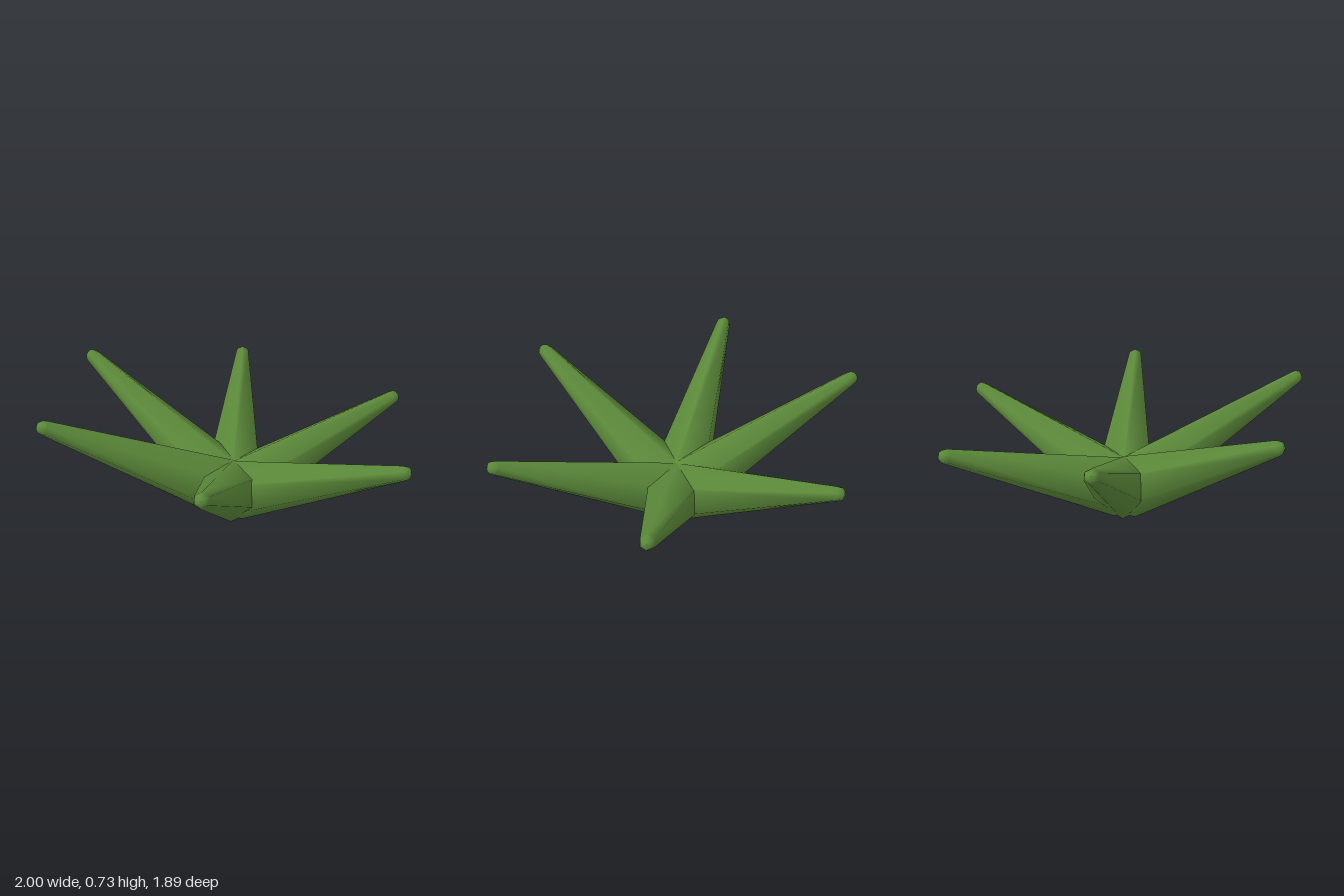
import * as THREE from 'three';

// Six tapering hexagonal spikes fanning up and out from one hub.
export function createModel() {
  const model = new THREE.Group();
  model.name = 'spikyPlant';
  const leafGreen = new THREE.MeshStandardMaterial({ color: 0x5c8a3a });
  leafGreen.name = 'leafGreen';

  const hub = new THREE.Vector3(-0.01, 0.17, 0.01);
  const baseRadius = 0.17, tipRadius = 0.04, sides = 6;

  // Centres of the rounded tips
  const tips = [
    [0.955, 0.515, 0.117], [0.56, 0.54, -0.785], [-0.345, 0.685, -0.91],
    [-0.965, 0.695, -0.232], [-0.655, 0.665, 0.76], [0.405, 0.56, 0.9],
  ];

  // Rounded end, from the rim of the spike up to its point
  const domeProfile = [0, 30, 60, 90].map((deg) => {
    const a = THREE.MathUtils.degToRad(deg);
    return new THREE.Vector2(deg === 90 ? 0 : Math.cos(a) * tipRadius, Math.sin(a) * tipRadius);
  });
  const domeGeometry = new THREE.LatheGeometry(domeProfile, sides);

  tips.forEach((tip, i) => {
    const axis = new THREE.Vector3(...tip).sub(hub);
    const length = axis.length();
    axis.normalize();

    // Turn the spike so that one ridge runs along its top
    const ridge = new THREE.Vector3(0, 1, 0).addScaledVector(axis, -axis.y).normalize();
    const side = new THREE.Vector3().crossVectors(axis, ridge);
    const leaf = new THREE.Group();
    leaf.name = `leaf${i + 1}`;
    leaf.position.copy(hub);
    leaf.quaternion.setFromRotationMatrix(new THREE.Matrix4().makeBasis(side, axis, ridge));

    const blade = new THREE.Mesh(
      new THREE.CylinderGeometry(tipRadius, baseRadius, length, sides), leafGreen);
    blade.name = 'blade';
    blade.position.y = length / 2;

    const dome = new THREE.Mesh(domeGeometry, leafGreen);
    dome.name = 'roundedTip';
    dome.position.y = length;

    leaf.add(blade, dome);
    model.add(leaf);
  });
  return model;
}
